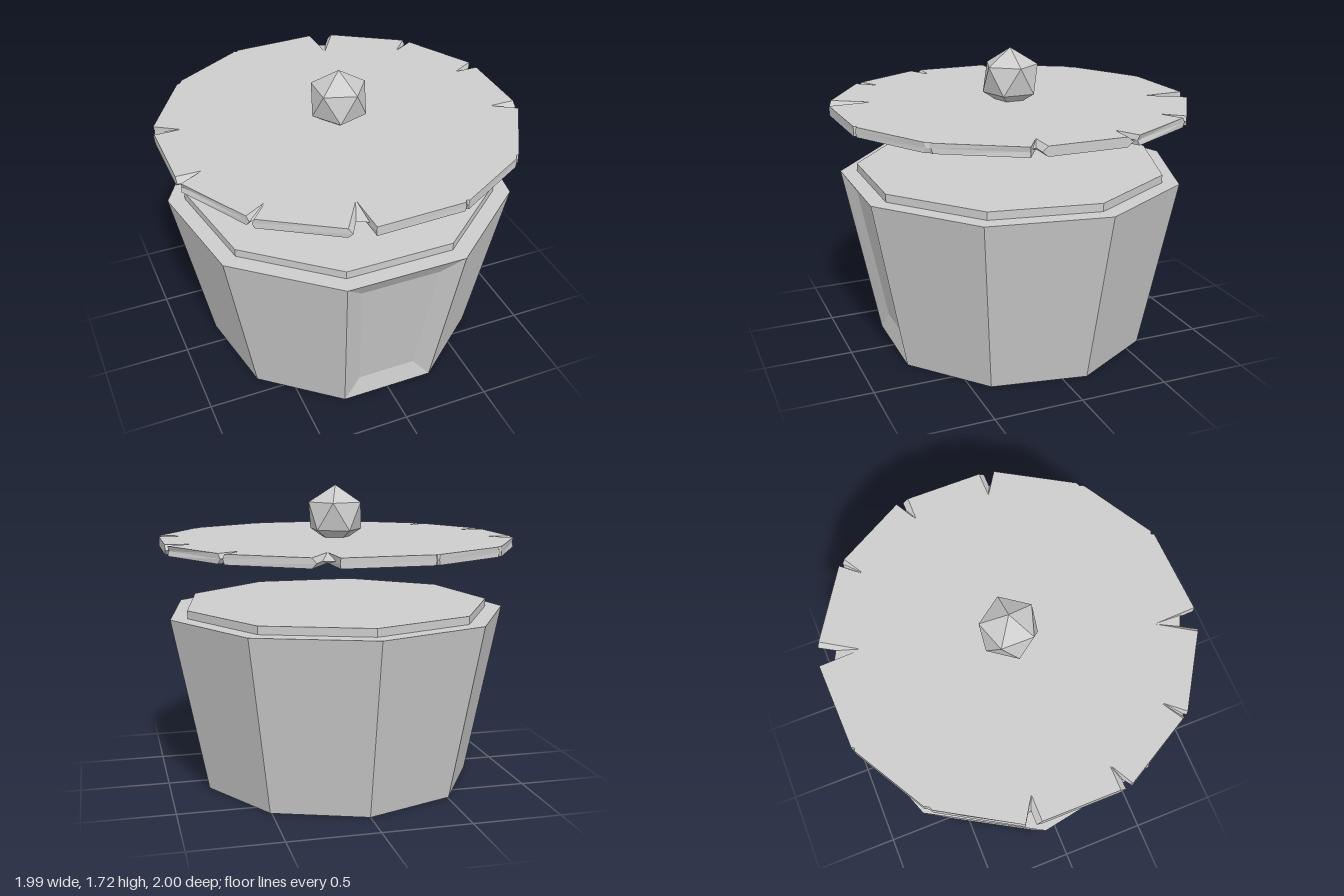
import * as THREE from 'three';
import { mergeGeometries } from 'three/addons/utils/BufferGeometryUtils.js';
import { ConvexGeometry } from 'three/addons/geometries/ConvexGeometry.js';

const SIDES = 9;
const STEP = (Math.PI * 2) / SIDES;

// flat-shaded geometry from a list of triangle corners
function fromTriangles(points) {
  const g = new THREE.BufferGeometry();
  g.setAttribute('position', new THREE.Float32BufferAttribute(points.flat(), 3));
  g.computeVertexNormals();
  return g;
}

const quad = (a, b, c, d) => [a, b, c, a, c, d];

function faceted(geometry) {
  const g = geometry.index ? geometry.toNonIndexed() : geometry;
  g.deleteAttribute('uv');
  g.computeVertexNormals();
  return g;
}

// tapered nine-sided pot with a sunken front panel
function potGeometry(rTop, rBottom) {
  const walls = new THREE.CylinderGeometry(rTop, rBottom, 1, SIDES - 1, 1, true, STEP / 2, Math.PI * 2 - STEP);
  walls.translate(0, 0.5, 0);
  const top = new THREE.CircleGeometry(rTop, SIDES, Math.PI / 2).rotateX(-Math.PI / 2).translate(0, 1, 0);
  const base = new THREE.CircleGeometry(rBottom, SIDES, -Math.PI / 2).rotateX(Math.PI / 2);
  return mergeGeometries([walls, top, base].map(faceted));
}

function panelGeometry(rTop, rBottom) {
  const s = Math.sin(STEP / 2), c = Math.cos(STEP / 2);
  const outer = [
    [-rBottom * s, 0, rBottom * c], [rBottom * s, 0, rBottom * c],
    [rTop * s, 1, rTop * c], [-rTop * s, 1, rTop * c],
  ];
  const inner = [[-0.17, 0.12, 0.722], [0.17, 0.12, 0.722], [0.225, 0.895, 0.864], [-0.225, 0.895, 0.864]];
  const tris = quad(...inner);
  for (let i = 0; i < 4; i++) {
    const j = (i + 1) % 4;
    tris.push(...quad(outer[i], outer[j], inner[j], inner[i]));
  }
  return fromTriangles(tris);
}

// chipped lid: half outlines [x, z], repeated by a half turn
const chippedFace = [
  [0.217, -1], [0.225, -0.767], [0.228, -0.765], [0.35, -0.96],
  [0.74, -0.715], [0.65, -0.612], [0.652, -0.608], [0.767, -0.675],
  [0.985, -0.29], [0.86, -0.222], [0.86, -0.218], [0.995, -0.218],
  [0.995, 0.215], [0.85, 0.215], [0.852, 0.218], [0.98, 0.3],
  [0.735, 0.71], [0.715, 0.718], [0.7, 0.745],
  [0.295, 0.977], [0.28, 0.97], [0.27, 0.986],
];
// the chips close up towards the middle of the thickness
const chippedMiddle = [
  [0.22, -1], [0.22, -0.92], [0.28, -0.89], [0.33, -0.975],
  [0.748, -0.708], [0.737, -0.693], [0.742, -0.69], [0.757, -0.692],
  [0.98, -0.28], [0.945, -0.255], [0.945, -0.25], [0.995, -0.25],
  [0.995, 0.245], [0.915, 0.245], [0.93, 0.268], [0.975, 0.298],
  [0.73, 0.717], [0.72, 0.722], [0.71, 0.737],
  [0.29, 0.98], [0.283, 0.978], [0.275, 0.985],
];

function lidGeometry(yBottom, yTop) {
  const ring = (half, y) => [...half, ...half.map(([x, z]) => [-x, -z])].map(([x, z]) => [x, y, z]);
  const rings = [ring(chippedFace, yTop), ring(chippedMiddle, (yTop + yBottom) / 2), ring(chippedFace, yBottom)];
  const n = rings[0].length;
  const tris = [];
  for (let r = 0; r < 2; r++) {
    for (let i = 0; i < n; i++) {
      const j = (i + 1) % n;
      tris.push(...quad(rings[r][i], rings[r][j], rings[r + 1][j], rings[r + 1][i]));
    }
  }
  // top and bottom faces
  const flat = rings[0].map(([x, , z]) => new THREE.Vector2(x, z));
  for (const [a, b, c] of THREE.ShapeUtils.triangulateShape(flat, [])) {
    const turn = flat[b].clone().sub(flat[a]).cross(flat[c].clone().sub(flat[a]));
    const up = turn < 0 ? [a, b, c] : [a, c, b];
    tris.push(...up.map((k) => rings[0][k]));
    tris.push(...[...up].reverse().map((k) => rings[2][k]));
  }
  return fromTriangles(tris);
}

// twenty-sided knob standing on a corner
function knobGeometry(r) {
  const points = [new THREE.Vector3(0, r, 0), new THREE.Vector3(0, -r, 0)];
  const h = r / Math.sqrt(5);
  for (let i = 0; i < 5; i++) {
    const a = (i * Math.PI * 2) / 5;
    const p = new THREE.Vector3(Math.cos(a) * h * 2, h, Math.sin(a) * h * 2);
    points.push(p, p.clone().negate());
  }
  return new ConvexGeometry(points);
}

export function createModel() {
  const model = new THREE.Group();
  model.name = 'liddedPot';
  const grey = new THREE.MeshStandardMaterial({ color: 0xcccccc });
  grey.name = 'plain grey';

  const add = (name, geometry, y = 0) => {
    const mesh = new THREE.Mesh(geometry, grey);
    mesh.name = name;
    mesh.position.y = y;
    model.add(mesh);
  };

  add('potBody', potGeometry(0.99, 0.79));
  add('frontPanel', panelGeometry(0.99, 0.79));
  add('potRim', faceted(new THREE.CylinderGeometry(0.893, 0.893, 0.045, SIDES, 1, false, STEP / 2)), 1.0225);
  add('lid', lidGeometry(1.366, 1.42));
  add('lidKnob', knobGeometry(0.175), 1.542);
  return model;
}
